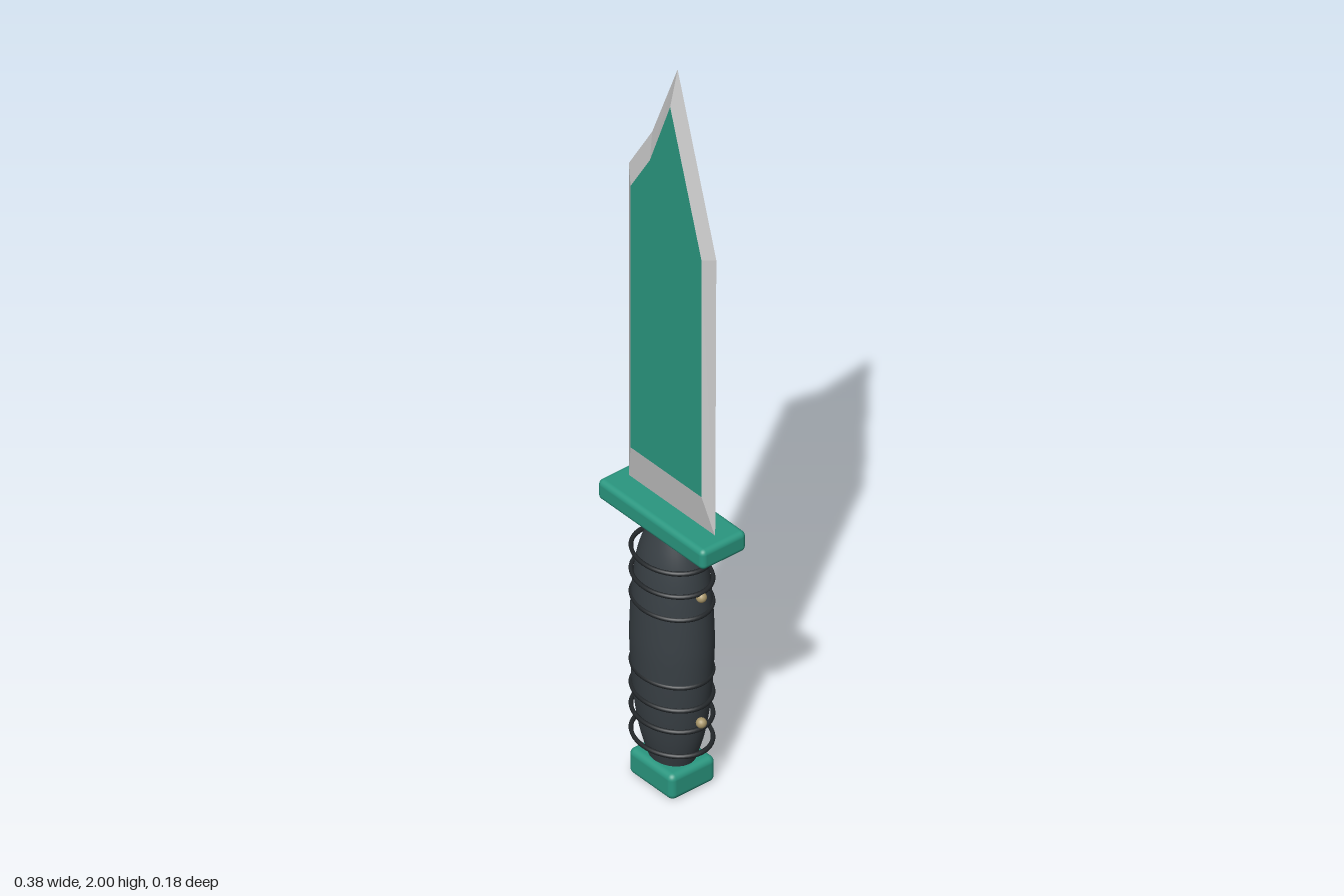
import * as THREE from 'three';
import { RoundedBoxGeometry } from 'three/addons/geometries/RoundedBoxGeometry.js';

const mat = (color) => new THREE.MeshStandardMaterial({ color });

// Matching corners of the cutting edge and of the flat face, anticlockwise
const EDGE = [[-0.153, 0.76], [0.153, 0.76], [0.157, 1.54], [0.02, 2.0], [-0.07, 1.775], [-0.153, 1.64]];
const FACE = [[-0.125, 0.865], [0.126, 0.865], [0.126, 1.53], [0.015, 1.9], [-0.057, 1.71], [-0.125, 1.6]];
const HALF = 0.018;

// Ground bevels running from the thin edge up to both flat faces
function bevelGeometry() {
  const pos = [];
  for (const side of [1, -1]) {
    EDGE.forEach((a, i) => {
      const j = (i + 1) % EDGE.length;
      const A = [...a, 0], B = [...EDGE[j], 0];
      const C = [...FACE[j], side * HALF], D = [...FACE[i], side * HALF];
      const tris = side > 0 ? [A, B, C, A, C, D] : [A, C, B, A, D, C];
      tris.forEach((p) => pos.push(...p));
    });
  }
  const g = new THREE.BufferGeometry();
  g.setAttribute('position', new THREE.Float32BufferAttribute(pos, 3));
  g.computeVertexNormals();
  return g;
}

export function createModel() {
  const model = new THREE.Group();
  model.name = 'knife';
  const steel = mat(0xcccccc);
  const green = mat(0x2a9780);
  const grip = mat(0x394045);
  const cord = mat(0x24282b);
  const brass = mat(0xa8966a);

  const add = (name, geometry, material, x = 0, y = 0, z = 0, parent = model) => {
    const m = new THREE.Mesh(geometry, material);
    m.name = name;
    m.position.set(x, y, z);
    parent.add(m);
    return m;
  };

  // Blade: steel bevels with a coloured flat on each side
  const blade = new THREE.Group();
  blade.name = 'blade';
  model.add(blade);
  add('bladeBevels', bevelGeometry(), steel, 0, 0, 0, blade);
  const flat = new THREE.ShapeGeometry(new THREE.Shape(FACE.map((p) => new THREE.Vector2(...p))));
  add('bladeFlatFront', flat, green, 0, 0, HALF, blade);
  const back = flat.clone();
  back.setIndex([...flat.index.array].reverse());
  back.attributes.normal.array.fill(0);
  back.computeVertexNormals();
  add('bladeFlatBack', back, green, 0, 0, -HALF, blade);

  // Guard and pommel
  add('guard', new RoundedBoxGeometry(0.375, 0.055, 0.133, 4, 0.014), green, 0, 0.737, 0);
  add('pommel', new RoundedBoxGeometry(0.156, 0.07, 0.133, 4, 0.016), green, 0, 0.036, 0);

  // Barrel-shaped handle, oval in section
  const profile = new THREE.SplineCurve([
    [0.058, 0.06], [0.083, 0.14], [0.099, 0.24], [0.107, 0.36], [0.107, 0.44],
    [0.1, 0.55], [0.085, 0.64], [0.055, 0.72],
  ].map((p) => new THREE.Vector2(...p))).getPoints(32);
  const handle = add('handle', new THREE.LatheGeometry(profile, 40), grip);
  handle.scale.z = 0.83;

  // Cord rings standing around the handle
  const ring = new THREE.TorusGeometry(0.104, 0.006, 8, 48);
  ring.rotateX(Math.PI / 2);
  for (const y of [0.127, 0.195, 0.255, 0.32, 0.51, 0.575, 0.64]) {
    add('cordRing', ring, cord, 0, y, 0).scale.z = 0.82;
  }

  // Brass pins on both sides
  const pin = new THREE.SphereGeometry(0.013, 16, 12);
  for (const side of [1, -1]) {
    for (const y of [0.21, 0.563]) add('pin', pin, brass, side * 0.104, y, 0);
  }
  return model;
}
